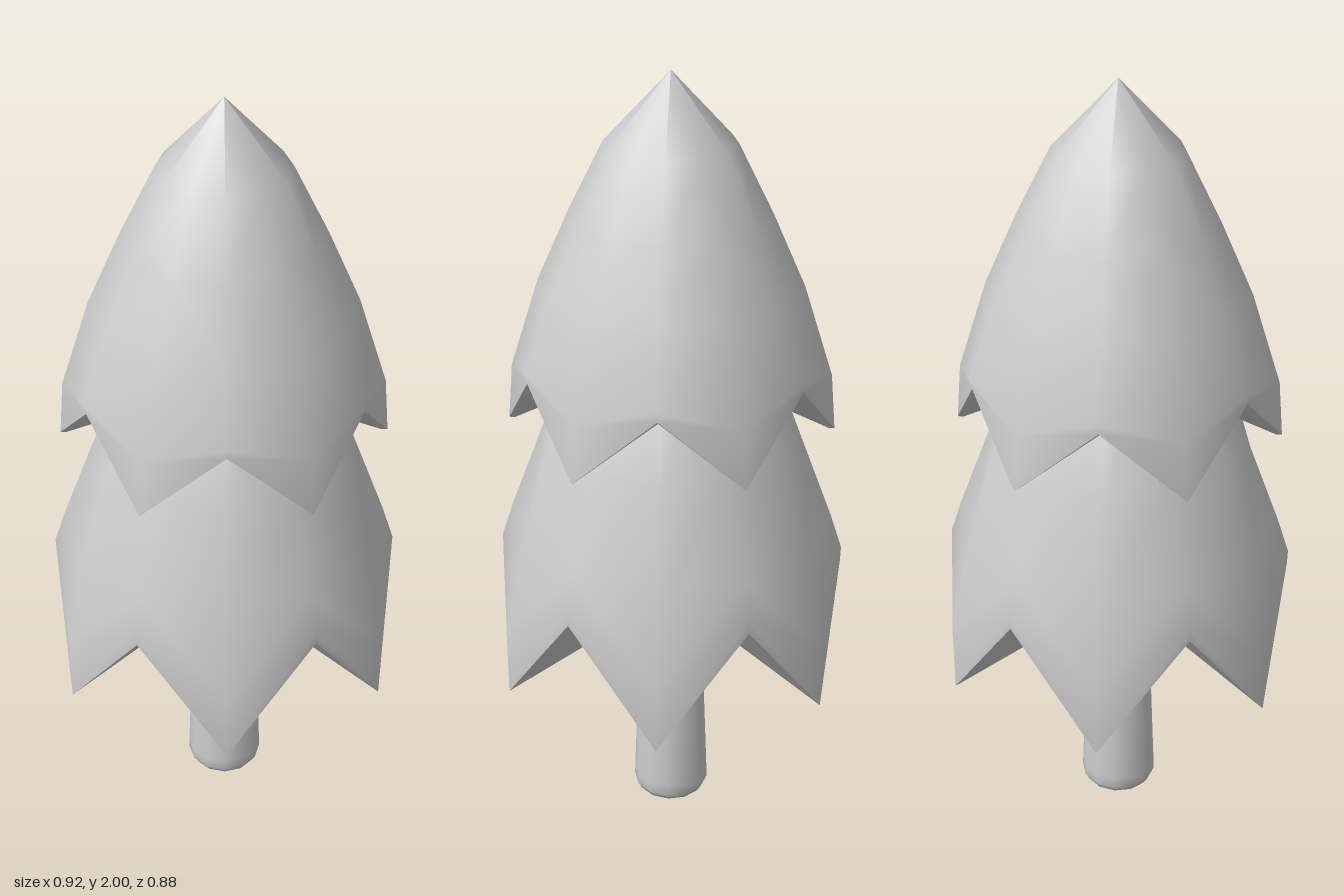
import * as THREE from 'three';

const SIDES = 12;

// Skin rings of 12 points; each row is [tipRadius, tipY, notchRadius, notchY].
// Rings run from the crown down and, underneath, from the rim inwards.
function skin(rows, firstTip) {
  const pos = [], index = [];
  for (const [tr, ty, nr, ny] of rows) {
    for (let j = 0; j < SIDES; j++) {
      const a = (j / SIDES) * Math.PI * 2;
      const tip = j % 2 === firstTip;
      const r = tip ? tr : nr;
      pos.push(r * Math.cos(a), tip ? ty : ny, r * Math.sin(a));
    }
  }
  for (let i = 0; i < rows.length - 1; i++) {
    for (let j = 0; j < SIDES; j++) {
      const k = (j + 1) % SIDES;
      const a = i * SIDES + j, b = i * SIDES + k, c = a + SIDES, d = b + SIDES;
      // Alternate the diagonal so every point is symmetric
      if (j % 2 === 0) index.push(a, b, c, b, d, c);
      else index.push(a, b, d, a, d, c);
    }
  }
  const g = new THREE.BufferGeometry();
  g.setAttribute('position', new THREE.Float32BufferAttribute(pos, 3));
  g.setIndex(index);
  g.computeVertexNormals();
  return g;
}

function part(name, geometry, flatShading = false) {
  const mesh = new THREE.Mesh(geometry, new THREE.MeshStandardMaterial({
    color: 0xcccccc, flatShading, side: THREE.DoubleSide,
  }));
  mesh.name = name;
  return mesh;
}

// One layer of foliage: smooth outside, faceted underside
function tier(name, outer, under, firstTip) {
  const group = new THREE.Group();
  group.name = name;
  group.add(part(name + 'Outside', skin(outer, firstTip)));
  const rim = outer[outer.length - 1];
  group.add(part(name + 'Underside', skin([rim, ...under], firstTip).toNonIndexed(), true));
  return group;
}

export function createModel() {
  const tree = new THREE.Group();
  tree.name = 'tree';

  // Trunk with a small bevel at the foot
  const trunk = [[0, 0], [0.088, 0], [0.1, 0.02], [0.099, 0.05], [0.08, 0.57], [0, 0.62]];
  tree.add(part('trunk', new THREE.LatheGeometry(
    trunk.map(([r, y]) => new THREE.Vector2(r, y)), SIDES)));

  // Lower foliage, wide zigzag skirt folding in to the trunk
  tree.add(tier('lowerFoliage', [
    [0, 1.5, 0, 1.5],
    [0.2, 1.38, 0.2, 1.38],
    [0.335, 1.1, 0.32, 1.1],
    [0.41, 0.85, 0.41, 0.86],
    [0.462, 0.6, 0.441, 0.765],
    [0.462, 0.43, 0.44, 0.73],
  ], [
    [0.07, 0.575, 0.07, 0.585],
  ], 0));

  // Upper foliage, pointed crown with a shallower zigzag and a thin lip
  tree.add(tier('upperFoliage', [
    [0, 2, 0, 2],
    [0.16, 1.83, 0.16, 1.83],
    [0.245, 1.66, 0.245, 1.66],
    [0.325, 1.48, 0.325, 1.48],
    [0.398, 1.25, 0.385, 1.31],
    [0.41, 1.105, 0.38, 1.285],
  ], [
    [0.395, 1.105, 0.365, 1.275],
    [0.2, 1.24, 0.2, 1.25],
  ], 1));

  return tree;
}
